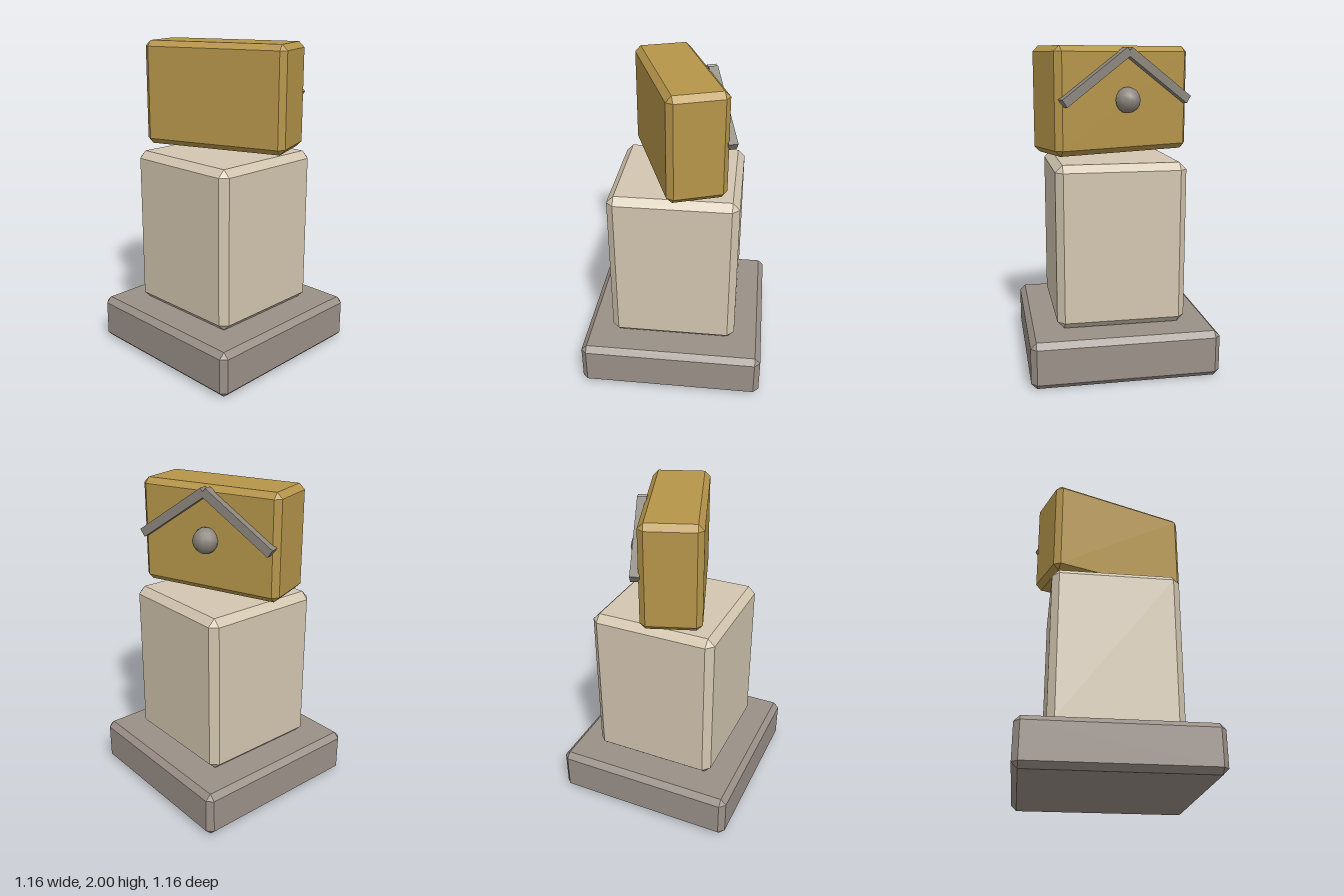
import * as THREE from 'three';
import { ConvexGeometry } from 'three/addons/geometries/ConvexGeometry.js';

const material = (name, color) => {
  const m = new THREE.MeshStandardMaterial({ color });
  m.name = name;
  return m;
};

// Box with 45 degree bevels on every edge and a triangular facet at each corner
function bevelBox(w, h, d, b) {
  const points = [];
  for (const x of [-1, 1]) for (const y of [-1, 1]) for (const z of [-1, 1]) {
    for (const [bx, by, bz] of [[0, b, b], [b, 0, b], [b, b, 0]]) {
      points.push(new THREE.Vector3(x * (w / 2 - bx), y * (h / 2 - by), z * (d / 2 - bz)));
    }
  }
  return new ConvexGeometry(points);
}

export function createModel() {
  const stone = material('base stone', 0x9a9088);
  const plaster = material('pale pillar', 0xd3c6b0);
  const brass = material('brass', 0xb6954a);
  const metal = material('grey metal', 0x8c867d);

  const model = new THREE.Group();
  model.name = 'pedestalWithBox';

  const add = (parent, name, geometry, mat, x, y, z) => {
    const mesh = new THREE.Mesh(geometry, mat);
    mesh.name = name;
    mesh.position.set(x, y, z);
    parent.add(mesh);
    return mesh;
  };

  // Stacked base and pillar
  add(model, 'base', bevelBox(1.16, 0.29, 1.16, 0.035), stone, 0, 0.145, 0);
  add(model, 'pillar', bevelBox(0.8, 1.015, 0.8, 0.044), plaster, 0, 0.8025, 0);

  // Box turned on the pillar
  const head = new THREE.Group();
  head.name = 'head';
  head.position.y = 1.675;
  head.rotation.y = THREE.MathUtils.degToRad(20);
  model.add(head);
  add(head, 'headBox', bevelBox(0.94, 0.65, 0.364, 0.035), brass, 0, 0, 0);

  // Pair of sloping bars on the back, meeting in a peak
  for (const side of [-1, 1]) {
    const bar = add(head, side > 0 ? 'leftBar' : 'rightBar',
      new THREE.BoxGeometry(0.535, 0.055, 0.057), metal, side * 0.221, 0.143, -0.2);
    bar.rotation.z = -side * 0.6;
  }

  // Round knob under the peak
  add(head, 'knob', new THREE.SphereGeometry(0.08, 10, 8), metal, 0, 0, -0.2);

  return model;
}
